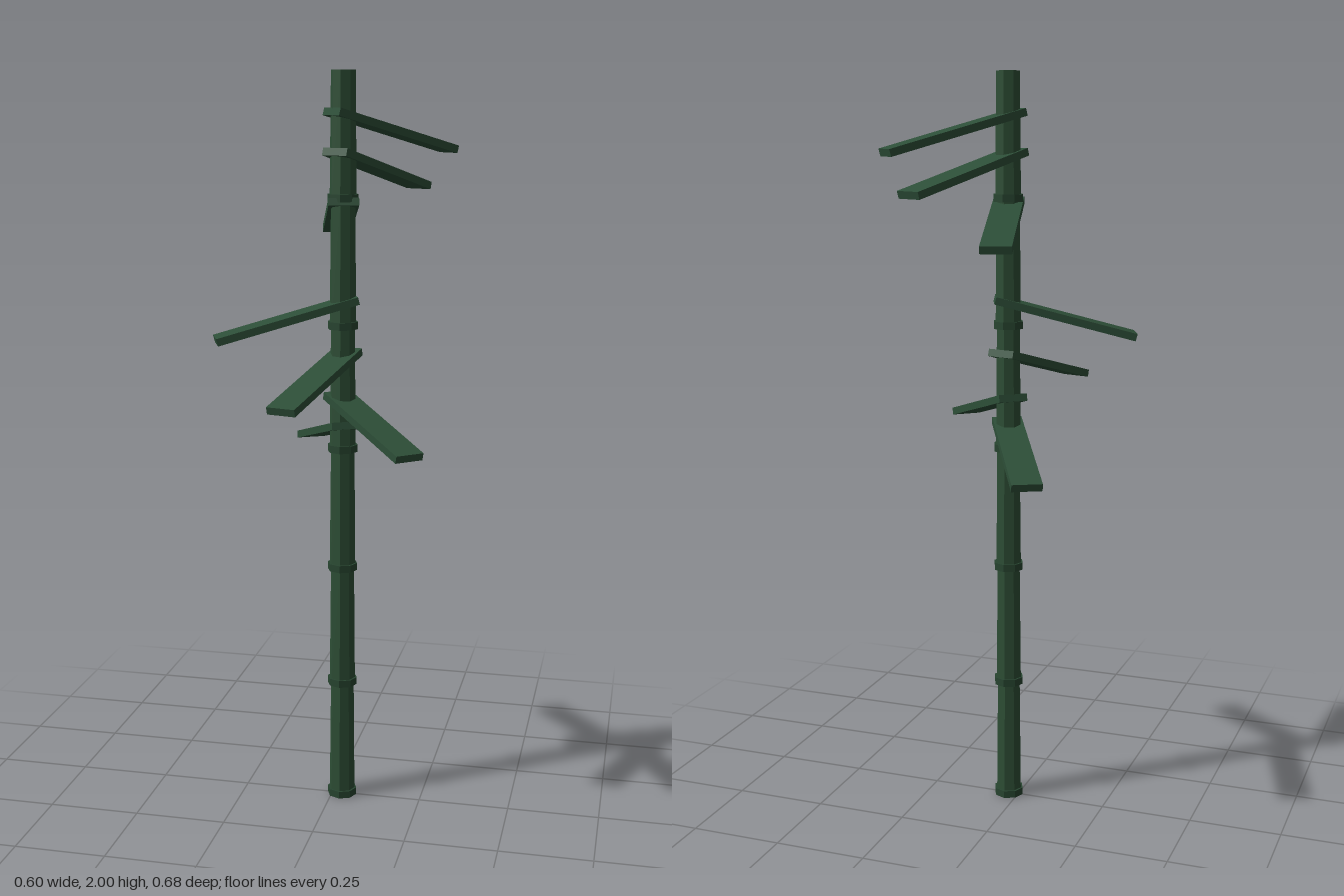
import * as THREE from 'three';

const AXIS_X = 0.028; // the stalk stands slightly off centre
const SEGMENTS = 6;
const SIDES = 8;

// Leaves from bottom to top: [height of leaf middle, heading in degrees]
const LEAVES = [
  [1.027, 118], [1.10, -48.4], [1.219, 254.9], [1.361, 202.6],
  [1.619, 105], [1.745, 63.6], [1.846, 44.4],
];

function material(name, color) {
  const m = new THREE.MeshStandardMaterial({ color, flatShading: true });
  m.name = name;
  return m;
}

function addMesh(parent, name, geometry, mat, x, y, z) {
  const mesh = new THREE.Mesh(geometry, mat);
  mesh.name = name;
  mesh.position.set(x, y, z);
  parent.add(mesh);
  return mesh;
}

export function createModel() {
  const group = new THREE.Group();
  group.name = 'bambooStalk';
  const stalkGreen = material('stalk green', 0x2d4e35);
  const ringGreen = material('ring green', 0x274530);
  const leafGreen = material('leaf green', 0x2d4f38);

  // Tapered stalk segments, each with a raised ring at its foot
  const h = 2 / SEGMENTS;
  const segmentGeo = new THREE.CylinderGeometry(0.0325, 0.036, h, SIDES);
  const ringGeo = new THREE.CylinderGeometry(0.041, 0.041, 0.02, SIDES);
  for (let i = 0; i < SEGMENTS; i++) {
    addMesh(group, 'stalkSegment', segmentGeo, stalkGreen, AXIS_X, (i + 0.5) * h, 0);
    addMesh(group, 'nodeRing', ringGeo, ringGreen, AXIS_X, i * h + 0.01, 0);
  }

  // Flat drooping leaves, their inner ends passing through the stalk
  const leafGeo = new THREE.BoxGeometry(0.388, 0.02, 0.08);
  const droop = THREE.MathUtils.degToRad(15);
  const reach = 0.152;
  for (const [y, heading] of LEAVES) {
    const a = THREE.MathUtils.degToRad(heading);
    const leaf = addMesh(group, 'leaf', leafGeo, leafGreen,
      AXIS_X + Math.cos(a) * reach, y, -Math.sin(a) * reach);
    leaf.rotation.set(0, a, -droop);
  }

  return group;
}
